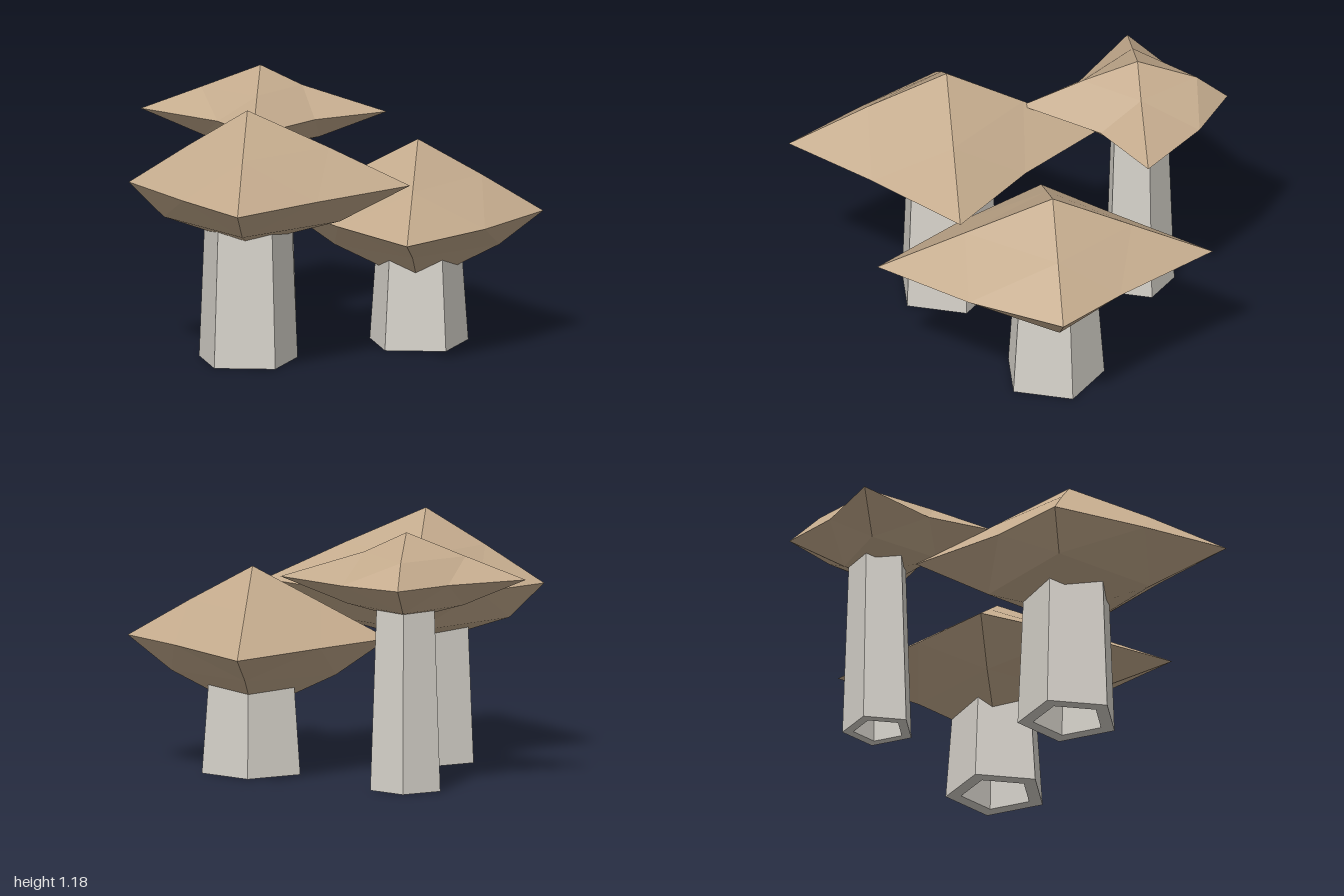
import * as THREE from 'three';

const capMaterial = new THREE.MeshStandardMaterial({ color: 0xc4ab8d, flatShading: true });
const stemMaterial = new THREE.MeshStandardMaterial({ color: 0xd6d2ca, flatShading: true, side: THREE.DoubleSide });

// Directions of the four cap points: front, left (+x), back, right (-x)
const DIRS = [[0, 1], [1, 0], [0, -1], [-1, 0]];

// Faceted cap: a top, four rim points with rim corners between them, and a bottom.
// Ribs above and below the rim are given as [distance from centre, height].
function capGeometry({ top, rimY, bottom, tips, corners, upper, lower }) {
  const on = (i, r, y) => [DIRS[i][0] * r, y, DIRS[i][1] * r];
  const positions = [];
  const fan = (pole, ribs, flip) => {
    const face = (a, b, c) => positions.push(...a, ...(flip ? c : b), ...(flip ? b : c));
    for (let i = 0; i < 4; i++) {
      const j = (i + 1) % 4;
      const m0 = on(i, ...ribs[i]), m1 = on(j, ...ribs[j]);
      const t0 = on(i, tips[i], rimY), t1 = on(j, tips[j], rimY);
      const corner = [corners[i][0], rimY, corners[i][1]];
      face([0, pole, 0], m0, m1);
      face(m0, t0, corner);
      face(m1, corner, t1);
      face(m0, corner, m1);
    }
  };
  fan(top, upper, false);
  fan(bottom, lower, true);
  const geometry = new THREE.BufferGeometry();
  geometry.setAttribute('position', new THREE.Float32BufferAttribute(positions, 3));
  geometry.computeVertexNormals();
  return geometry;
}

// Five-sided tapering hollow stem with its edge towards the back
function stemGeometry(rBottom, rTop, height) {
  const wall = 0.7;
  const profile = [
    [rTop * wall, height], [rBottom * wall, 0], [rBottom, 0], [rTop, height],
  ].map(([r, y]) => new THREE.Vector2(r, y));
  return new THREE.LatheGeometry(profile, 5, Math.PI).toNonIndexed();
}

// All lists run front, left, back, right; corners sit between consecutive points
const MUSHROOMS = [
  {
    name: 'frontMushroom', x: -0.39, z: 0.28, stem: [0.236, 0.208, 0.66],
    cap: {
      top: 1.16, rimY: 0.82, bottom: 0.54,
      tips: [0.72, 0.74, 0.7, 0.54],
      corners: [[0.34, 0.37], [0.34, -0.33], [-0.27, -0.29], [-0.27, 0.38]],
      upper: [[0.36, 1.0], [0.37, 0.995], [0.35, 0.99], [0.27, 0.995]],
      lower: [[0.37, 0.65], [0.42, 0.65], [0.37, 0.65], [0.38, 0.66]],
    },
  },
  {
    name: 'sideMushroom', x: 0.36, z: -0.14, stem: [0.236, 0.203, 0.45],
    cap: {
      top: 0.945, rimY: 0.62, bottom: 0.27,
      tips: [0.8, 0.57, 0.73, 0.62],
      corners: [[0.33, 0.41], [0.33, -0.28], [-0.34, -0.32], [-0.34, 0.4]],
      upper: [[0.4, 0.783], [0.29, 0.785], [0.36, 0.785], [0.31, 0.783]],
      lower: [[0.4, 0.48], [0.37, 0.46], [0.36, 0.47], [0.38, 0.45]],
    },
  },
  {
    name: 'backMushroom', x: -0.385, z: -0.59, stem: [0.168, 0.138, 0.86],
    cap: {
      top: 1.18, rimY: 0.97, bottom: 0.78,
      tips: [0.53, 0.575, 0.41, 0.545],
      corners: [[0.26, 0.19], [0.27, -0.26], [-0.21, -0.2], [-0.18, 0.25]],
      upper: [[0.25, 1.09], [0.19, 1.09], [0.27, 1.08], [0.27, 1.075]],
      lower: [[0.26, 0.85], [0.27, 0.85], [0.16, 0.83], [0.26, 0.85]],
    },
  },
];

export function createModel() {
  const model = new THREE.Group();
  model.name = 'mushroomCluster';
  for (const { name, x, z, stem, cap } of MUSHROOMS) {
    const mushroom = new THREE.Group();
    mushroom.name = name;
    mushroom.position.set(x, 0, z);

    const stemMesh = new THREE.Mesh(stemGeometry(...stem), stemMaterial);
    stemMesh.name = 'stem';
    const capMesh = new THREE.Mesh(capGeometry(cap), capMaterial);
    capMesh.name = 'cap';

    mushroom.add(stemMesh, capMesh);
    model.add(mushroom);
  }
  return model;
}
